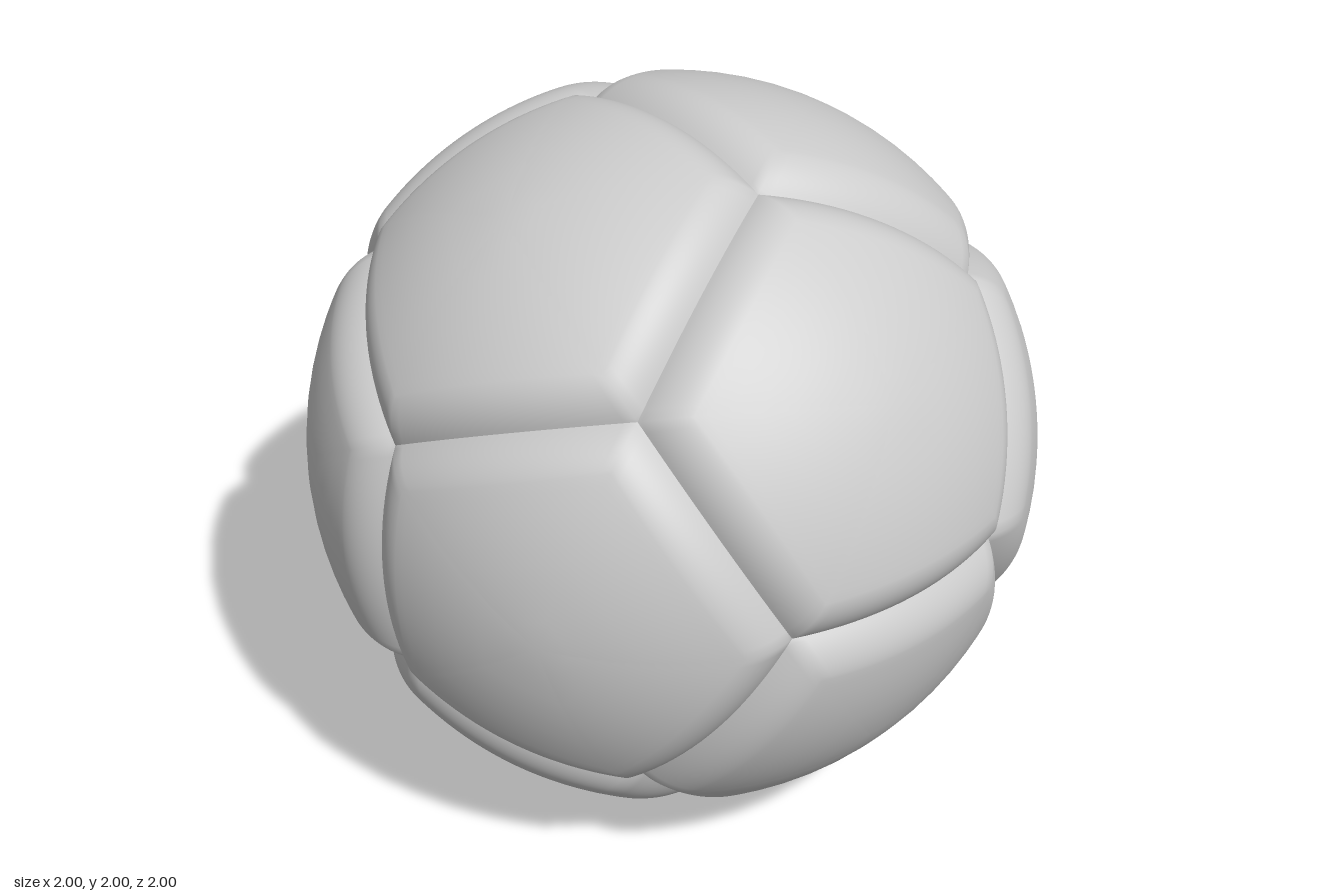
import * as THREE from 'three';

const SEAM = 0.956;   // radius at the seams
const TOP = 1.0073;   // radius of the puffed panels
const BEVEL = 0.13;   // angular width of the rounded panel border
const STEPS = 20;     // subdivisions along each panel edge
const PHI = (1 + Math.sqrt(5)) / 2;

// All sign combinations and cyclic shifts of (0, a, b)
function cyclicPoints(a, b) {
  const points = [];
  for (const s of [1, -1]) for (const t of [1, -1]) {
    const p = [0, s * a, t * b];
    for (let k = 0; k < 3; k++) {
      points.push(new THREE.Vector3(p[k], p[(k + 1) % 3], p[(k + 2) % 3]).normalize());
    }
  }
  return points;
}

// The five dodecahedron corners around a panel centre, counter-clockwise from outside
function panelCorners(centre, corners) {
  const near = corners.filter((c) => c.dot(centre) > 0.7);
  const u = near[0].clone().projectOnPlane(centre).normalize();
  const v = new THREE.Vector3().crossVectors(centre, u);
  const angle = (c) => Math.atan2(c.dot(v), c.dot(u));
  return near.sort((a, b) => angle(a) - angle(b));
}

// Puffed spherical pentagon made of concentric rings, dense at the border
function panelGeometry(centre, corners) {
  const rings = [0.12, 0.25, 0.37, 0.49, 0.6, 0.69];
  for (let i = 0; i <= 12; i++) rings.push(0.74 + (0.26 * i) / 12);
  const edgeNormals = corners.map((c, i) =>
    new THREE.Vector3().crossVectors(c, corners[(i + 1) % 5]).normalize());
  const flatCentre = corners.reduce((sum, c) => sum.add(c), new THREE.Vector3()).divideScalar(5);

  const positions = [];
  const addPoint = (p) => {
    p.normalize();
    const distance = Math.min(...edgeNormals.map((n) => Math.asin(n.dot(p))));
    const u = THREE.MathUtils.clamp(distance / BEVEL, 0, 1);
    p.multiplyScalar(SEAM + (TOP - SEAM) * (1 - (1 - u) ** 2));
    positions.push(p.x, p.y + 1, p.z);
  };

  addPoint(centre.clone());
  for (const t of rings) {
    for (let e = 0; e < 5; e++) {
      for (let s = 0; s < STEPS; s++) {
        const edgePoint = corners[e].clone().lerp(corners[(e + 1) % 5], s / STEPS);
        addPoint(flatCentre.clone().lerp(edgePoint, t));
      }
    }
  }

  const index = [];
  const n = 5 * STEPS;
  for (let j = 0; j < n; j++) {
    const k = (j + 1) % n;
    index.push(0, 1 + j, 1 + k);
    for (let r = 0; r < rings.length - 1; r++) {
      const a = 1 + r * n, b = a + n;
      index.push(a + j, b + j, b + k, a + j, b + k, a + k);
    }
  }
  const geometry = new THREE.BufferGeometry();
  geometry.setAttribute('position', new THREE.Float32BufferAttribute(positions, 3));
  geometry.setIndex(index);
  geometry.computeVertexNormals();
  return geometry;
}

export function createModel() {
  const ball = new THREE.Group();
  ball.name = 'ball';
  const material = new THREE.MeshStandardMaterial({ color: 0xcccccc });

  // Dodecahedron corners: the cube corners plus three crossed rectangles
  const corners = cyclicPoints(1 / PHI, PHI);
  for (const x of [1, -1]) for (const y of [1, -1]) for (const z of [1, -1]) {
    corners.push(new THREE.Vector3(x, y, z).normalize());
  }

  // Twelve pentagonal panels, one per face centre
  cyclicPoints(PHI, 1).forEach((centre, i) => {
    const panel = new THREE.Mesh(panelGeometry(centre, panelCorners(centre, corners)), material);
    panel.name = `panel${i + 1}`;
    ball.add(panel);
  });
  return ball;
}
